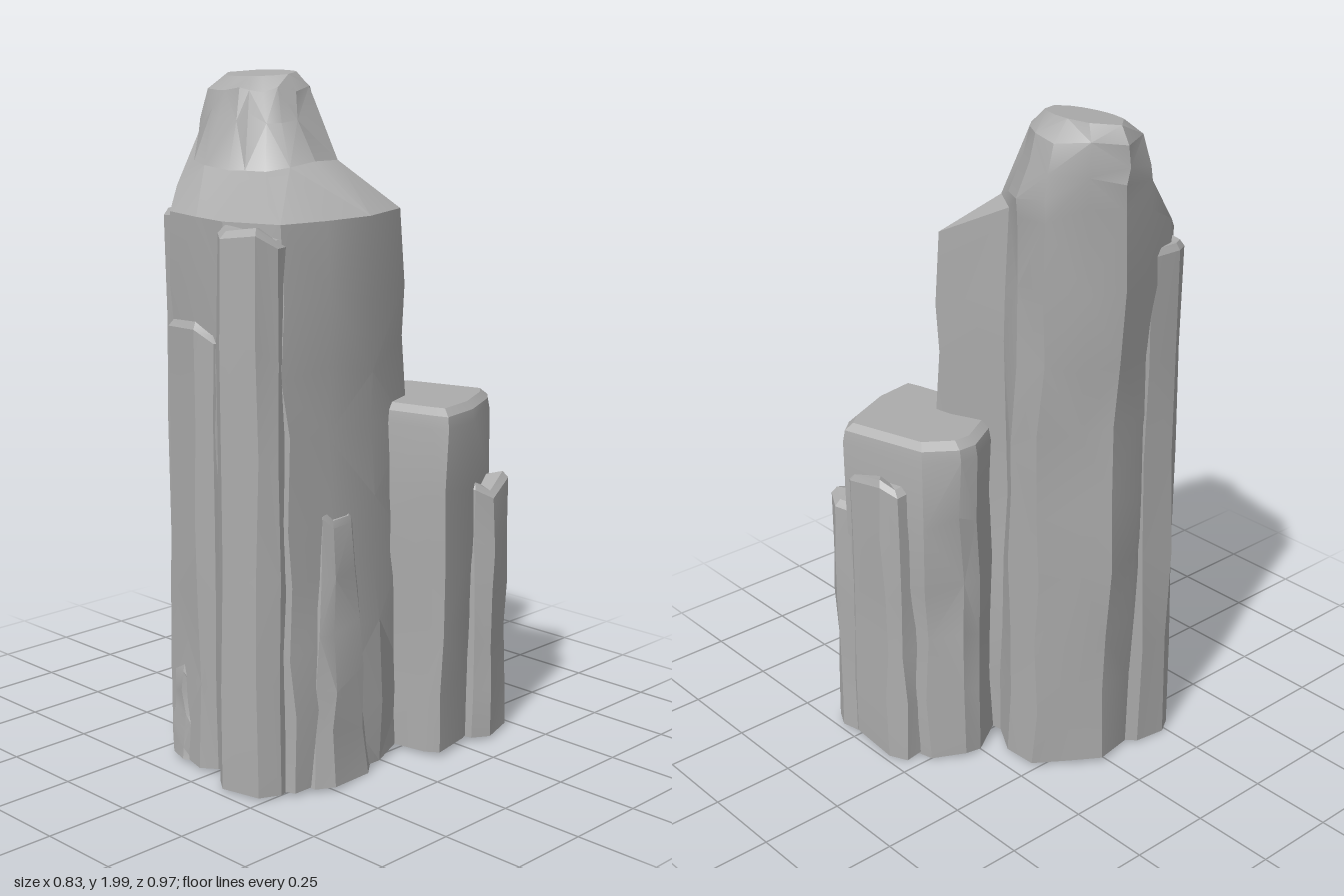
import * as THREE from 'three';
import { toCreasedNormals } from 'three/addons/utils/BufferGeometryUtils.js';

// Seeded random in -1..1
function seeded(seed) {
  let s = seed;
  return () => {
    s = (s * 16807) % 2147483647;
    return (s / 2147483647) * 2 - 1;
  };
}

// Middle of a ring of [x, y, z]
const middle = ring => [0, 1, 2].map(k => ring.reduce((sum, p) => sum + p[k], 0) / ring.length);

// Chip a ring at random, with its own amount in height
const roughen = (ring, flat, tall, rnd) =>
  ring.map(p => p.map((v, k) => v + rnd() * (k === 1 ? tall : flat)));

// Skin a stack of equal-length rings, capped at both ends
function loft(rings) {
  const n = rings[0].length;
  const verts = [...rings.flat(), middle(rings[0]), middle(rings.at(-1))];
  const last = (rings.length - 1) * n, low = rings.length * n, high = low + 1;
  const index = [];
  for (let i = 0; i < n; i++) {
    const j = (i + 1) % n;
    for (let r = 0; r < last; r += n) {
      if ((i + r / n) % 2) index.push(r + i, r + n + i, r + j, r + j, r + n + i, r + n + j);
      else index.push(r + i, r + n + i, r + n + j, r + i, r + n + j, r + j);
    }
    index.push(low, i, j, high, last + j, last + i);
  }
  const g = new THREE.BufferGeometry();
  g.setAttribute('position', new THREE.Float32BufferAttribute(verts.flat(), 3));
  g.setIndex(index);
  return toCreasedNormals(g, 0.35);
}

// Shrink a ring toward its middle and shift it in height
function inset(ring, scale, dy) {
  const [cx, , cz] = middle(ring);
  return ring.map(([x, y, z]) => [cx + (x - cx) * scale, y + dy, cz + (z - cz) * scale]);
}

// Weathered rings from the ground up to a top ring; the foot is widened and shifted in x
function wall(top, steps, rough, rnd, flare, shift) {
  const foot = inset(top, flare, 0).map(([x, , z]) => [x + shift, 0.015, z]);
  const rings = [roughen(foot, 0, 0.01, rnd)];
  for (let s = 1; s < steps; s++) {
    const ring = foot.map((p, i) => p.map((v, k) => v + (top[i][k] - v) * s / steps));
    rings.push(roughen(ring, rough, rough * 3.5, rnd));
  }
  return [...rings, top];
}

// Eight-sided chamfered block outline, turned about its centre
function blockTop(x, z, halfX, halfZ, height, turn, rnd) {
  const soften = v => Math.sign(v) * Math.abs(v) ** 0.6;
  return Array.from({ length: 8 }, (_, i) => {
    const a = (i + 0.5) * Math.PI / 4;
    const u = soften(Math.cos(a)) * halfX, w = soften(Math.sin(a)) * halfZ;
    return [
      x + u * Math.cos(turn) + w * Math.sin(turn),
      height + rnd() * 0.02,
      z - u * Math.sin(turn) + w * Math.cos(turn),
    ];
  });
}

export function createModel() {
  const model = new THREE.Group();
  const stone = new THREE.MeshStandardMaterial({ color: 0xacacac });
  stone.name = 'grey stone';
  const add = (name, rings) => {
    const mesh = new THREE.Mesh(loft(rings), stone);
    mesh.name = name;
    model.add(mesh);
  };

  // Main pillar: wall, sloping shelf that climbs toward the peak
  const peakX = -0.25, peakZ = -0.02;
  const fromPeak = (x, z, weight) => Math.hypot(x - peakX, (z - peakZ) * weight);
  const outline = [
    [0.24, 0.02], [0.25, 0.2], [0.235, 0.36], [0.06, 0.41], [-0.08, 0.38], [-0.25, 0.33], [-0.335, 0.23],
    [-0.385, 0.1], [-0.41, -0.02], [-0.35, -0.1], [-0.28, -0.19], [-0.17, -0.19], [-0.08, -0.14], [0.15, -0.2],
  ];
  const shelf = outline.map(([x, z]) =>
    [x, 1.61 + 0.25 * Math.max(0, 1 - fromPeak(x, z, 1.15) / 0.4), z]);

  // Peak rings: the outline drawn in to a given reach of the peak axis
  const peakRing = (reach, weight, height) => outline.map(([x, z]) => {
    const t = Math.min(1, reach / fromPeak(x, z, weight));
    const px = peakX + (x - peakX) * t, pz = peakZ + (z - peakZ) * t;
    return [px, height(px, pz), pz];
  });
  const rnd = seeded(11);
  add('mainPillar', [
    ...wall(shelf, 8, 0.011, rnd, 1, 0.05),
    roughen(peakRing(0.255, 1.2, (x, z) => 1.735 + 1.2 * (0.255 - fromPeak(x, z, 1.2))), 0.008, 0.015, rnd),
    roughen(peakRing(0.185, 1.2, () => 1.87), 0.008, 0.02, rnd),
    roughen(peakRing(0.165, 1.25, () => 1.945), 0.004, 0.01, rnd),
    peakRing(0.135, 1.7, (x, z) => 1.988 - z * 0.1),
  ]);

  // Lower column behind, with a softly rounded top
  const columnTop = [
    [0, -0.4], [0.27, -0.475], [0.31, -0.43], [0.385, -0.27], [0.41, -0.13],
    [0.36, -0.115], [0.2, -0.08], [0, -0.14], [-0.065, -0.25], [-0.065, -0.31],
  ].map(([x, z]) => [x, 1.005, z]);
  add('lowerColumn', [
    ...wall(columnTop, 5, 0.009, seeded(23), 0.95, -0.01),
    inset(columnTop, 0.97, 0.035),
    inset(columnTop, 0.86, 0.055),
  ]);

  // Slabs bedded into the faces: x, z, half width, half depth, height, turn; then foot flare
  const slabs = {
    frontRidge: [[0.14, 0.34, 0.1, 0.125, 1.57, 0.25], 1.08],
    frontSlab: [[-0.1, 0.33, 0.14, 0.085, 1.29, -0.25], 1],
    frontChip: [[-0.14, 0.36, 0.05, 0.05, 0.27, -0.3], 1.15],
    rightFlank: [[-0.305, 0.19, 0.06, 0.09, 1.58, -0.1], 1],
    leftFlank: [[0.245, 0.18, 0.045, 0.07, 0.78, 0.1], 1.9],
    backSlab: [[0.17, -0.415, 0.125, 0.065, 0.91, 0], 1.1],
    backSideSlab: [[0.285, -0.375, 0.105, 0.1, 0.78, 0.3], 1.06],
  };
  Object.entries(slabs).forEach(([name, [size, flare]], i) => {
    const chips = seeded(501 + i * 53);
    const top = blockTop(...size, chips);
    add(name, [...wall(top, 5, 0.007, chips, flare, 0), inset(top, 0.85, 0.02)]);
  });

  return model;
}
